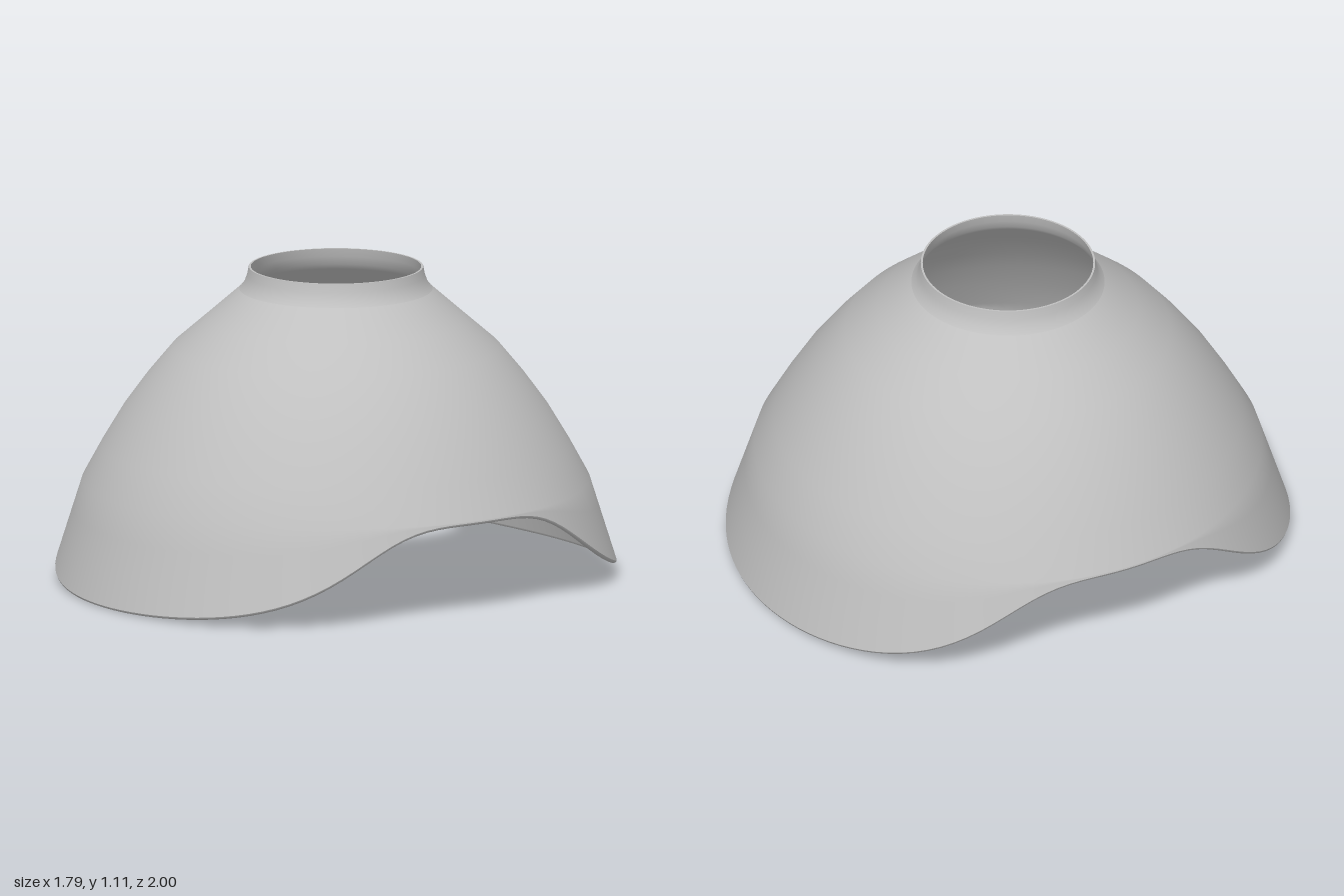
import * as THREE from 'three';

const SEGMENTS = 128;

// Outer profile, top to just above the cut edge: [radius, height]
const PROFILE = [
  [0.307, 1.11], [0.313, 1.08], [0.324, 1.05], [0.34, 1.03],
  [0.46, 0.925], [0.575, 0.825], [0.67, 0.71], [0.75, 0.6], [0.825, 0.475], [0.893, 0.35],
];

// Height of the wavy lower edge: low at front and back, arched at the sides
const edgeHeight = (a) => 0.379 / (1 + 7.7 * Math.cos(a) ** 4) - 0.034;
// Radius of the lowest, straight part of the wall
const skirtRadius = (y) => 0.893 + (0.35 - y) * 0.314;
// Wall gets thinner towards the neck
const wall = (y) => 0.02 - 0.013 * (y / 1.11);

// Outer wall section at angle a, from top to lower edge
function outerSection(a) {
  const pts = PROFILE.map((p) => [...p]);
  const low = edgeHeight(a);
  for (let k = 1; k <= 3; k++) {
    const y = 0.35 + (low - 0.35) * (k / 3);
    pts.push([skirtRadius(y), y]);
  }
  return pts;
}

const innerSection = (a) => outerSection(a).map(([r, y]) => [r - wall(y), y]).reverse();

// Sweep a section, which may change with the angle, around the y axis
function sweep(name, section, material) {
  const pos = [], index = [];
  const rows = section(0).length;
  for (let j = 0; j < SEGMENTS; j++) {
    const a = (j / SEGMENTS) * Math.PI * 2;
    for (const [r, y] of section(a)) pos.push(r * Math.sin(a), y, r * Math.cos(a));
    const next = ((j + 1) % SEGMENTS) * rows;
    for (let i = 0; i < rows - 1; i++) {
      const p = j * rows + i, q = next + i;
      index.push(p, p + 1, q + 1, p, q + 1, q);
    }
  }
  const geo = new THREE.BufferGeometry();
  geo.setAttribute('position', new THREE.Float32BufferAttribute(pos, 3));
  geo.setIndex(index);
  geo.computeVertexNormals();
  const mesh = new THREE.Mesh(geo, material);
  mesh.name = name;
  return mesh;
}

export function createModel() {
  const group = new THREE.Group();
  group.name = 'lampShade';
  const grey = new THREE.MeshStandardMaterial({ color: 0xc0c0c0 });
  grey.name = 'light grey';

  // Outer wall, split at the crease below the neck
  group.add(sweep('neck', (a) => outerSection(a).slice(0, 4), grey));
  group.add(sweep('outerShell', (a) => outerSection(a).slice(3), grey));
  group.add(sweep('innerShell', innerSection, grey));

  // Rounded lip along the wavy edge
  group.add(sweep('lowerRim', (a) => {
    const y = edgeHeight(a), r = skirtRadius(y), t = wall(y) / 2;
    return [0, 1, 2, 3, 4].map((k) => {
      const b = (k / 4) * Math.PI;
      return [r - t + t * Math.cos(b), y - 0.0095 * Math.sin(b)];
    });
  }, grey));

  // Flat ring around the top opening
  const [topR, topY] = PROFILE[0];
  group.add(sweep('topRim', () => [[topR - wall(topY), topY], [topR, topY]], grey));

  return group;
}
